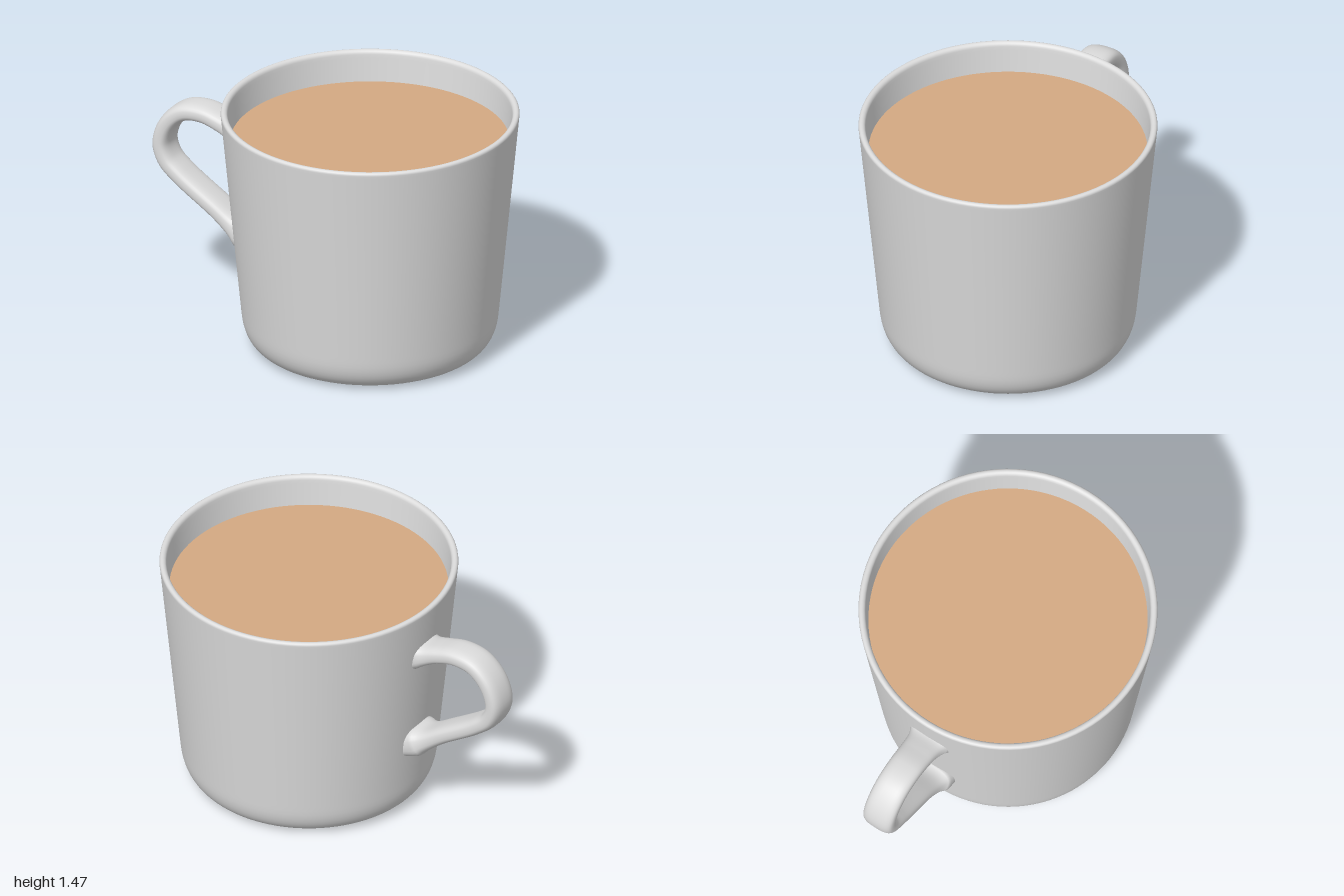
import * as THREE from 'three';
import { ParametricGeometry } from 'three/addons/geometries/ParametricGeometry.js';

const V2 = (x, y) => new THREE.Vector2(x, y);

// Cup shell: rounded foot, tapered wall, soft rim, inner wall and floor
function cupGeometry() {
  const foot = new THREE.QuadraticBezierCurve(V2(0.58, 0), V2(0.735, 0), V2(0.75, 0.2));
  const rim = new THREE.CubicBezierCurve(
    V2(0.871, 1.455), V2(0.873, 1.482), V2(0.832, 1.482), V2(0.829, 1.45));
  const inside = new THREE.QuadraticBezierCurve(V2(0.71, 0.2), V2(0.69, 0.06), V2(0.55, 0.06));
  const profile = [
    V2(0, 0), V2(0.5, 0), ...foot.getPoints(12), V2(0.753, 0.23), V2(0.8, 0.72),
    V2(0.869, 1.44), ...rim.getPoints(10), V2(0.827, 1.43),
    ...inside.getPoints(8), V2(0, 0.06),
  ];
  return new THREE.LatheGeometry(profile, 96);
}

// Handle: flattened rounded strap swept along a loop, flaring where it meets the wall
function handleGeometry() {
  const path = new THREE.CatmullRomCurve3([
    [0.74, 1.15], [0.85, 1.165], [0.96, 1.205], [1.08, 1.237], [1.21, 1.22], [1.31, 1.13],
    [1.353, 1.0], [1.32, 0.895], [1.23, 0.81], [1.0, 0.655], [0.86, 0.56], [0.74, 0.51],
  ].map(([s, y]) => new THREE.Vector3(s, y, 0)));
  const rounded = (c) => Math.sign(c) * Math.pow(Math.abs(c), 0.7);
  return new ParametricGeometry((u, v, out) => {
    const p = path.getPointAt(v);
    const t = path.getTangentAt(v);
    const flare = 0.04 * Math.exp(-Math.max(0, p.x - 0.82) / 0.045);
    const angle = u * Math.PI * 2;
    const across = (0.053 + flare) * rounded(Math.cos(angle));
    const side = (0.1 + flare) * rounded(Math.sin(angle));
    out.set(p.x - t.y * across, p.y + t.x * across, side);
  }, 32, 80);
}

export function createModel() {
  const glaze = new THREE.MeshStandardMaterial({ color: 0xdcdcdc });
  glaze.name = 'grey glaze';
  const coffee = new THREE.MeshStandardMaterial({ color: 0xd4a982 });
  coffee.name = 'milky coffee';

  const model = new THREE.Group();
  model.name = 'mug';
  const add = (name, geometry, material) => {
    const mesh = new THREE.Mesh(geometry, material);
    mesh.name = name;
    model.add(mesh);
    return mesh;
  };

  add('cup', cupGeometry(), glaze);

  const handle = add('handle', handleGeometry(), glaze);
  handle.rotation.y = Math.atan2(0.757, -0.653);

  // Drink surface just below the rim
  const drink = add('drink', new THREE.CircleGeometry(0.814, 96), coffee);
  drink.rotation.x = -Math.PI / 2;
  drink.position.y = 1.285;

  // Offset so that cup and handle together are centred
  model.position.set(0.055, 0, 0.127);
  const root = new THREE.Group();
  root.add(model);
  return root;
}
